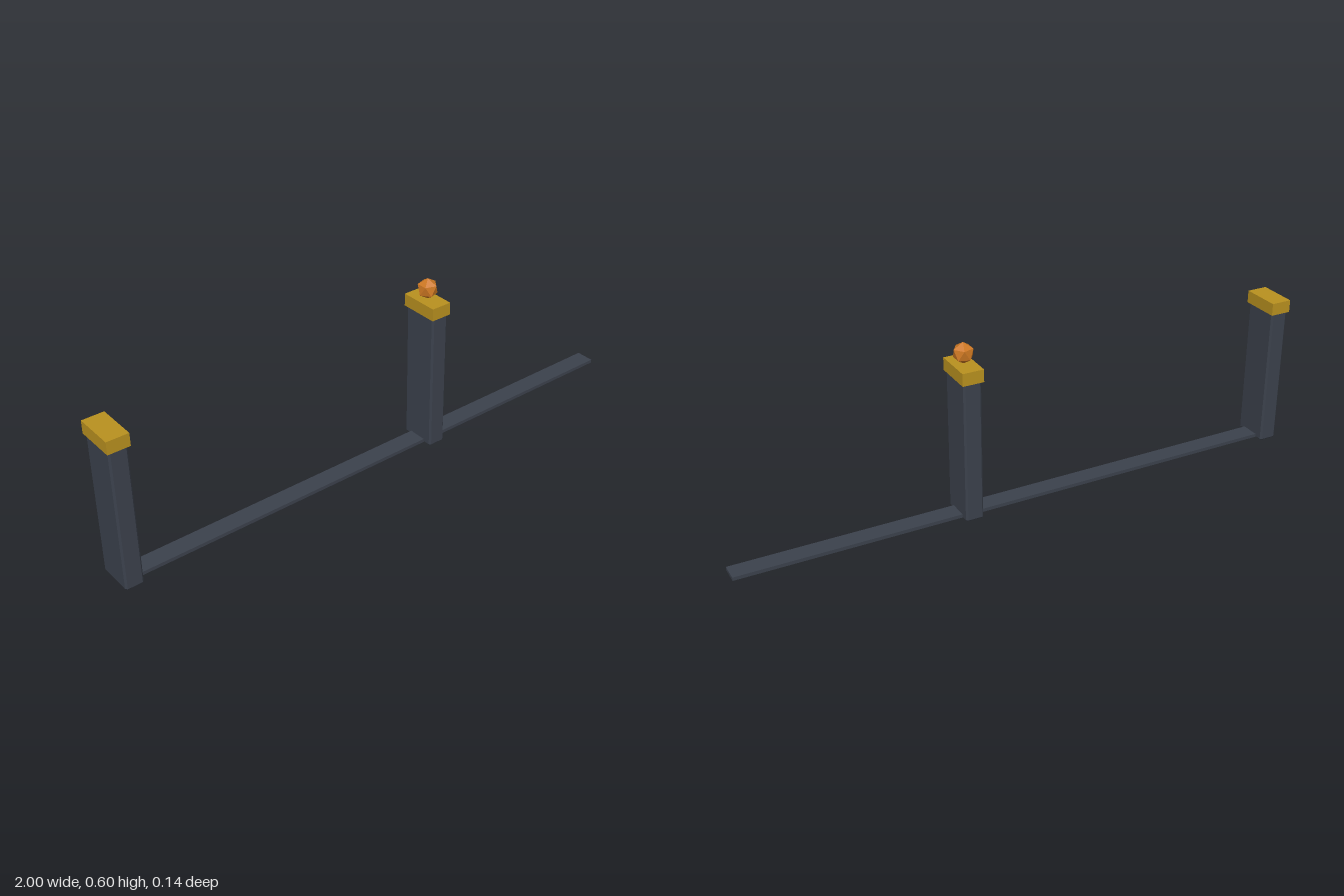
import * as THREE from 'three';
import { ConvexGeometry } from 'three/addons/geometries/ConvexGeometry.js';

// Box with every edge cut by a flat chamfer, centred on the origin
function chamferedBox(w, h, d, c) {
  const points = [];
  for (const x of [-w / 2, w / 2])
    for (const y of [-h / 2, h / 2])
      for (const z of [-d / 2, d / 2]) {
        const sx = Math.sign(x) * c, sy = Math.sign(y) * c, sz = Math.sign(z) * c;
        points.push(
          new THREE.Vector3(x, y - sy, z - sz),
          new THREE.Vector3(x - sx, y, z - sz),
          new THREE.Vector3(x - sx, y - sy, z)
        );
      }
  return new ConvexGeometry(points);
}

export function createModel() {
  const model = new THREE.Group();
  model.name = 'postsOnRail';

  const slate = new THREE.MeshStandardMaterial({ color: 0x3b414c });
  slate.name = 'slate';
  const gold = new THREE.MeshStandardMaterial({ color: 0xb8901f });
  gold.name = 'gold';
  const amber = new THREE.MeshStandardMaterial({ color: 0xcc7722 });
  amber.name = 'amber';

  function add(parent, name, geometry, material, x, y, z) {
    const mesh = new THREE.Mesh(geometry, material);
    mesh.name = name;
    mesh.position.set(x, y, z);
    parent.add(mesh);
    return mesh;
  }

  // Low rail, starting inside the end post
  const railStart = -0.963, railEnd = 1;
  add(model, 'rail', new THREE.BoxGeometry(railEnd - railStart, 0.012, 0.065), slate,
    (railStart + railEnd) / 2, 0.008, 0);

  // Two chamfered posts with flat caps
  const postGeometry = chamferedBox(0.062, 0.495, 0.128, 0.006);
  const capGeometry = new THREE.BoxGeometry(0.073, 0.043, 0.138);
  for (const [name, x] of [['endPost', -0.9635], ['middlePost', 0.206]]) {
    const post = new THREE.Group();
    post.name = name;
    post.position.x = x;
    add(post, 'shaft', postGeometry, slate, 0, 0.2475, 0);
    add(post, 'cap', capGeometry, gold, 0, 0.5105, 0);
    model.add(post);
  }

  // Faceted finial standing on one point
  const finial = new THREE.IcosahedronGeometry(0.036, 0);
  finial.rotateX(-Math.atan((1 + Math.sqrt(5)) / 2));
  finial.rotateY(Math.PI / 2);
  add(model, 'finial', finial, amber, 0.206, 0.568, 0);

  return model;
}
